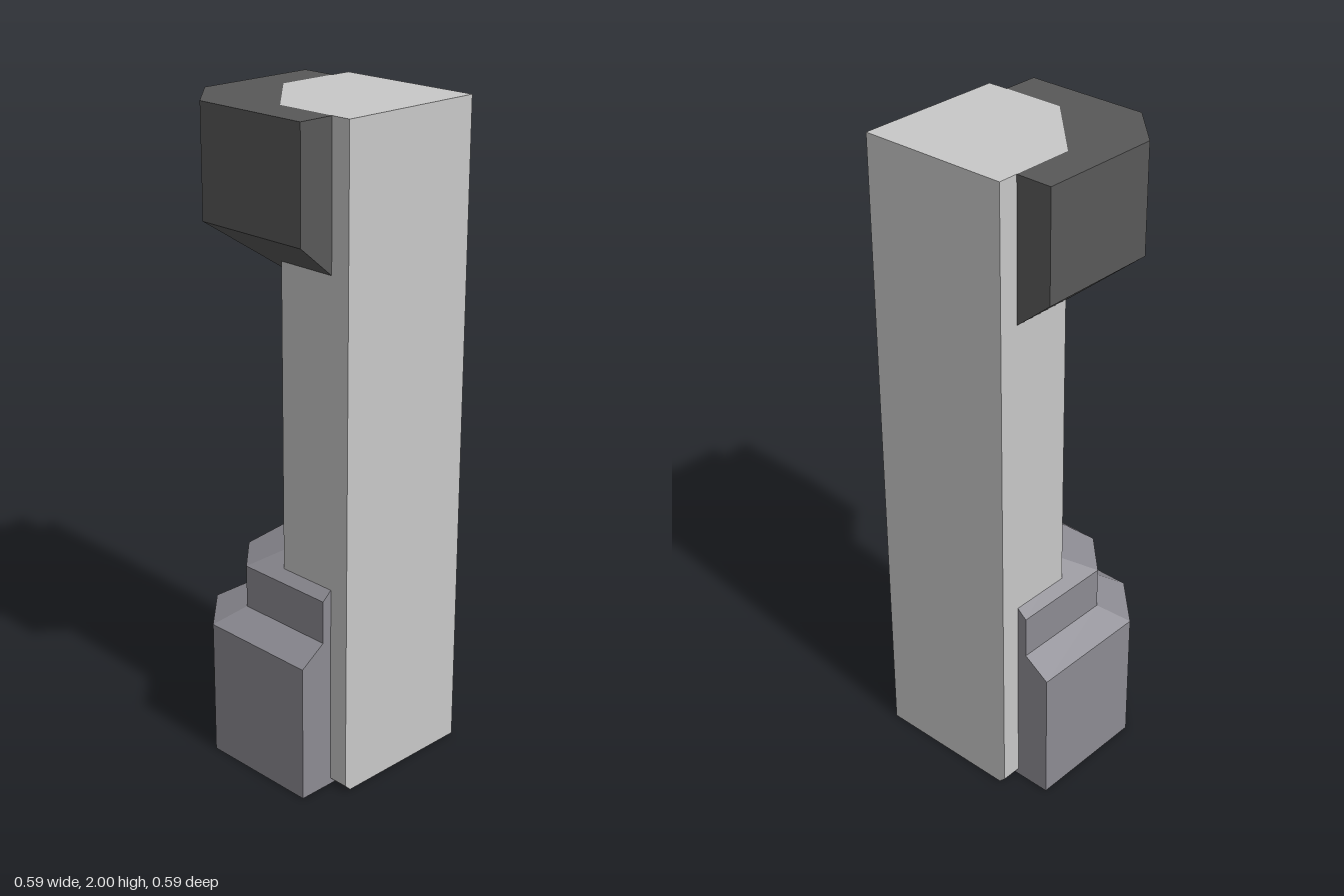
import * as THREE from 'three';

const paint = (name, color) => {
  const m = new THREE.MeshStandardMaterial({ color, flatShading: true });
  m.name = name;
  return m;
};

// Sweeps a closed profile around the chamfered back corner, from x = end to z = end.
// Each profile row is [d, c, y]: walls at -d, chamfer meeting them at c, height y.
function wrapCorner(name, material, end, profile) {
  const rows = profile.map(([d, c, y]) =>
    [[end, -d], [c, -d], [-d, c], [-d, end]].map(([x, z]) => new THREE.Vector3(x, y, z)));
  const pos = [];
  const tri = (a, b, c) => {
    const area = b.clone().sub(a).cross(c.clone().sub(a)).length();
    if (area > 1e-8) for (const p of [a, b, c]) pos.push(p.x, p.y, p.z);
  };

  // Strips between neighbouring rows
  rows.forEach((low, i) => {
    const high = rows[(i + 1) % rows.length];
    for (let j = 0; j < 3; j++) {
      tri(low[j], low[j + 1], high[j + 1]);
      tri(low[j], high[j + 1], high[j]);
    }
  });

  // Flat ends
  const outline = profile.map(([d, , y]) => new THREE.Vector2(d, y));
  for (const [a, b, c] of THREE.ShapeUtils.triangulateShape(outline, [])) {
    tri(rows[a][0], rows[b][0], rows[c][0]);
    tri(rows[c][3], rows[b][3], rows[a][3]);
  }

  const geo = new THREE.BufferGeometry();
  geo.setAttribute('position', new THREE.Float32BufferAttribute(pos, 3));
  geo.computeVertexNormals();
  const mesh = new THREE.Mesh(geo, material);
  mesh.name = name;
  return mesh;
}

export function createModel() {
  const group = new THREE.Group();
  group.name = 'cornerPillar';

  // Main shaft, with a small bevel at the foot; it closes on the front corner
  group.add(wrapCorner('shaft', paint('lightStone', 0xc8c8c8), 0.292, [
    [0.16, 0.043, 0], [0.18, 0.035, 0.02], [0.18, 0.035, 2],
    [-0.292, 0.292, 2], [-0.292, 0.292, 0],
  ]));

  // Dark collar around the top, sloping in underneath
  group.add(wrapCorner('topCollar', paint('darkStone', 0x585858), 0.229, [
    [0.14, -0.005, 1.541], [0.293, -0.157, 1.67], [0.293, -0.157, 2], [0.18, 0.035, 2],
    [0.14, 0.05, 1.98],
  ]));

  // Stepped plinth around the foot
  group.add(wrapCorner('basePlinth', paint('greyStone', 0x8c8b92), 0.229, [
    [0.16, 0.043, 0], [0.293, -0.157, 0], [0.293, -0.157, 0.43], [0.211, -0.095, 0.485],
    [0.211, -0.095, 0.618], [0.14, -0.005, 0.679], [0.14, 0.05, 0.05],
  ]));

  return group;
}
